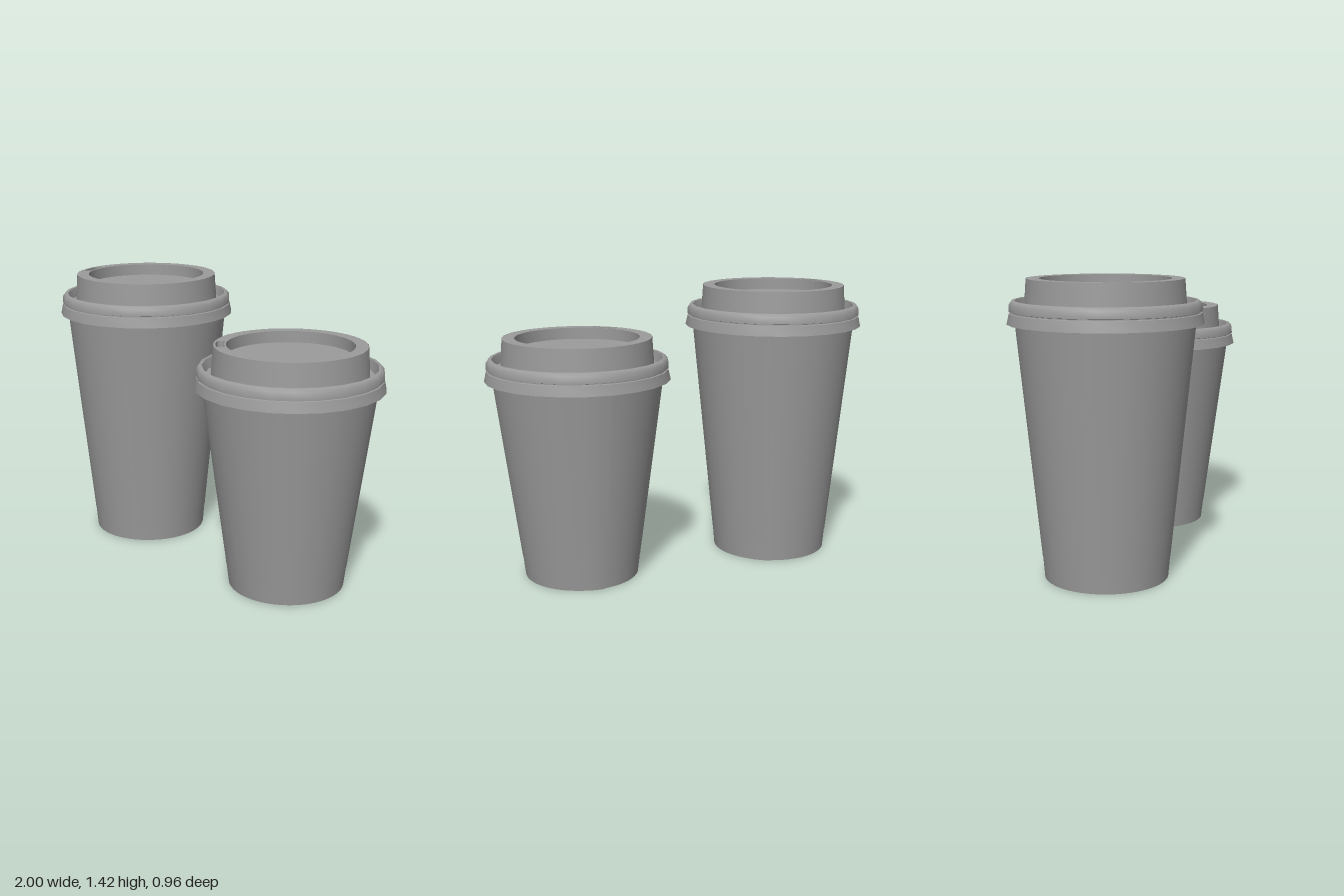
import * as THREE from 'three';
import { toCreasedNormals } from 'three/addons/utils/BufferGeometryUtils.js';

const grey = new THREE.MeshStandardMaterial({ color: 0x9b9b9b, side: THREE.DoubleSide });
const rad = THREE.MathUtils.degToRad;

function part(name, geometry, y = 0) {
  const mesh = new THREE.Mesh(geometry, grey);
  mesh.name = name;
  mesh.position.y = y;
  return mesh;
}

// Surface of revolution from [radius, height] pairs
function turned(profile, sides, start = 0, sweep = Math.PI * 2) {
  const points = profile.map(([r, y]) => new THREE.Vector2(r, y));
  return new THREE.LatheGeometry(points, sides, start, sweep);
}

// Paper wall: one sheet wrapped past a full turn, lifting slightly where it overlaps
function cupWall(height, baseRadius, seamAngle) {
  const radiusAt = (y) => baseRadius + ((0.42 - baseRadius) * y) / height;
  const sides = 72, sweep = Math.PI * 2 + 0.08, lift = 0.006;
  const geo = turned([
    [baseRadius - 0.015, 0.035], [baseRadius - 0.015, 0], [baseRadius, 0],
    [radiusAt(0.1) - 0.0015, 0.1], [radiusAt(0.1), 0.1],
    [radiusAt(height + 0.05), height + 0.05],
  ], sides, rad(90 - seamAngle), sweep);
  const pos = geo.attributes.position;
  const rows = pos.count / (sides + 1);
  for (let i = 0; i < pos.count; i++) {
    const turn = (Math.floor(i / rows) / sides) * sweep;
    const x = pos.getX(i), z = pos.getZ(i), r = Math.hypot(x, z);
    const k = 1 + (lift * THREE.MathUtils.smoothstep(turn, Math.PI * 2 - 0.4, Math.PI * 2)) / r;
    pos.setX(i, x * k);
    pos.setZ(i, z * k);
  }
  return toCreasedNormals(geo, 0.5);
}

// Raised drinking ring with a curved, round-ended sip slot
function drinkingRing() {
  const shape = new THREE.Shape().absarc(0, 0, 0.366, 0, Math.PI * 2);
  shape.holes.push(new THREE.Path().absarc(0, 0, 0.306, 0, Math.PI * 2, true));
  const mid = 0.334, half = 0.02, a = rad(-136 - 8), b = rad(-136 + 8);
  const slot = new THREE.Path();
  slot.absarc(0, 0, mid + half, a, b, false);
  slot.absarc(mid * Math.cos(b), mid * Math.sin(b), half, b, b + Math.PI, false);
  slot.absarc(0, 0, mid - half, b, a, true);
  slot.absarc(mid * Math.cos(a), mid * Math.sin(a), half, a + Math.PI, a + Math.PI * 2, false);
  shape.holes.push(slot);
  const geo = new THREE.ExtrudeGeometry(shape, { depth: 0.06, bevelEnabled: false, curveSegments: 24 });
  return toCreasedNormals(geo.rotateX(-Math.PI / 2), 0.5);
}

function buildLid() {
  const lid = new THREE.Group();
  lid.name = 'lid';
  // Open flared skirt, fine groove, rounded snap ring and the gutter behind it
  lid.add(part('lidRim', toCreasedNormals(turned([
    [0.459, -0.002], [0.448, 0.048], [0.44, 0.05], [0.44, 0.054],
    [0.448, 0.056], [0.447, 0.09], [0.435, 0.105], [0.42, 0.105], [0.405, 0.06], [0.37, 0.06],
  ], 24), 0.95)));
  // Tapered dome, drinking ring and sunken centre
  lid.add(part('lidDome', turned([[0.377, 0.06], [0.367, 0.205]], 48)));
  lid.add(part('drinkingRing', drinkingRing(), 0.145));
  lid.add(part('lidCentre', new THREE.CircleGeometry(0.308, 48).rotateX(-Math.PI / 2), 0.147));
  return lid;
}

function buildCup(name, height, baseRadius, seamAngle) {
  const cup = new THREE.Group();
  cup.name = name;
  cup.add(part('cupWall', cupWall(height, baseRadius, seamAngle)));
  cup.add(part('cupBase', new THREE.CircleGeometry(baseRadius - 0.012, 48).rotateX(Math.PI / 2), 0.033));
  const lid = buildLid();
  lid.position.y = height;
  cup.add(lid);
  return cup;
}

export function createModel() {
  const model = new THREE.Group();
  model.name = 'takeawayCups';
  const tall = buildCup('tallCup', 1.215, 0.297, 273);
  tall.position.set(-0.543, 0, -0.025);
  tall.rotation.y = rad(-24);
  const small = buildCup('smallCup', 1.005, 0.287, 269);
  small.position.set(0.538, 0, 0.019);
  model.add(tall, small);
  return model;
}
